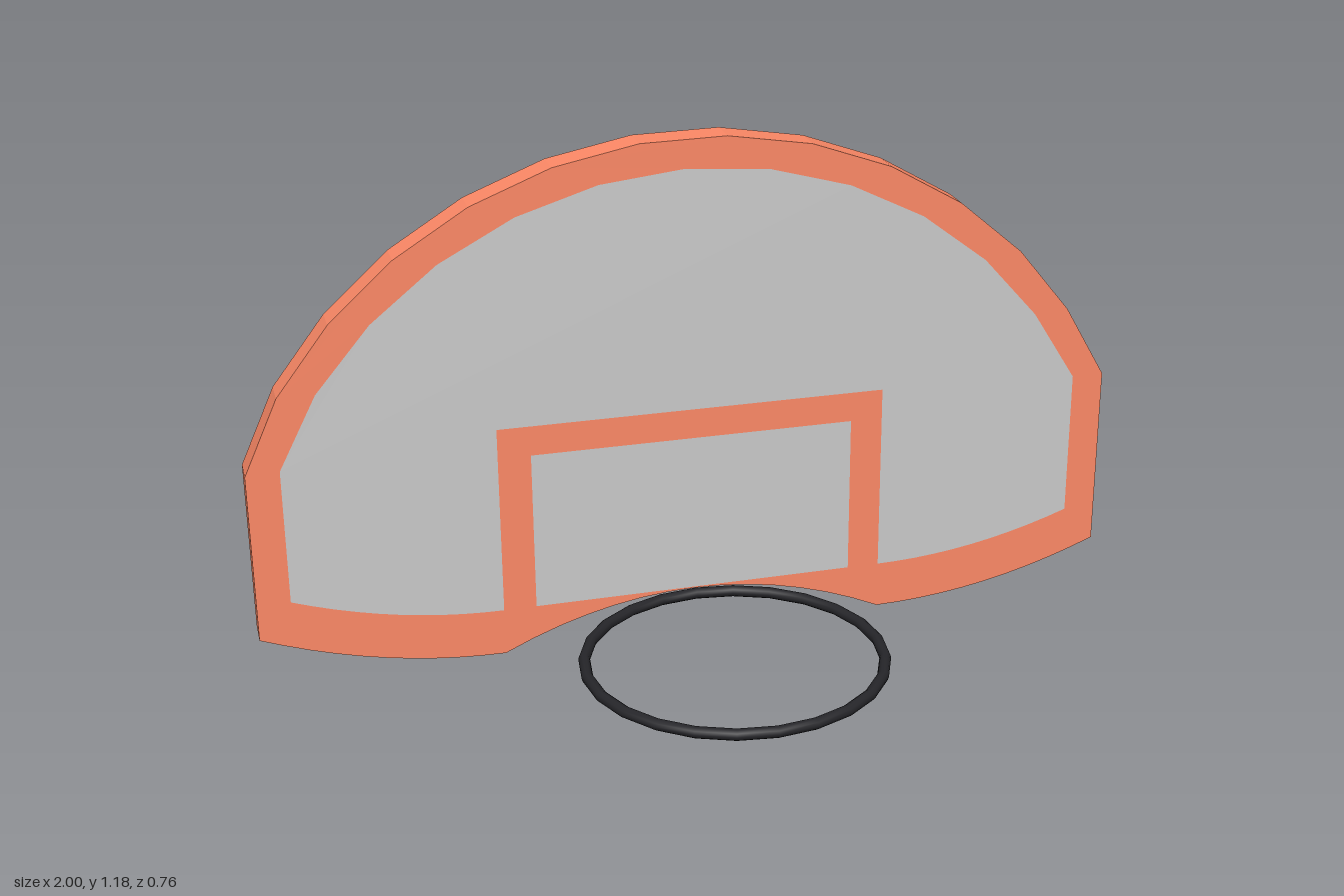
import * as THREE from 'three';

const FRONT = -0.31, BACK = -0.385;
const V = (x, y) => new THREE.Vector2(x, y);

// Points of the domed top, running from right to left, clipped to the straight sides
function dome(radius, start, end, segments, halfWidth) {
  const pts = [];
  for (let i = 0; i <= segments; i++) {
    const a = THREE.MathUtils.degToRad(start + (end - start) * i / segments);
    const x = radius * Math.cos(a);
    const atEnd = i === 0 || i === segments;
    pts.push(V(atEnd ? Math.sign(x) * halfWidth : x, 0.1 + radius * Math.sin(a)));
  }
  return pts;
}

// Curved lower wing edge from the inner corner (x = 0.45) out to the side
function wing(y, rise, halfWidth, segments = 10) {
  const pts = [];
  for (let i = 0; i <= segments; i++) {
    const t = i / segments;
    pts.push(V(0.45 + (halfWidth - 0.45) * t, y + rise * t * t));
  }
  return pts;
}
const mirrored = pts => pts.map(p => V(-p.x, p.y)).reverse();

// Shallow arch cut into the bottom centre, left to right, without end points
function arch(segments = 14) {
  const pts = [];
  for (let i = 1; i < segments; i++) {
    const t = 2 * i / segments - 1;
    pts.push(V(0.45 * t, 0.112 - 0.107 * t * t));
  }
  return pts;
}

// Wall that joins the front and back along a counter-clockwise outline
function rimGeometry(pts) {
  const pos = [];
  pts.forEach((a, i) => {
    const b = pts[(i + 1) % pts.length];
    pos.push(a.x, a.y, FRONT, a.x, a.y, BACK, b.x, b.y, BACK);
    pos.push(a.x, a.y, FRONT, b.x, b.y, BACK, b.x, b.y, FRONT);
  });
  const geo = new THREE.BufferGeometry();
  geo.setAttribute('position', new THREE.Float32BufferAttribute(pos, 3));
  geo.computeVertexNormals();
  return geo;
}

export function createModel() {
  const model = new THREE.Group();
  model.name = 'basketballHoop';

  const grey = new THREE.MeshStandardMaterial({ color: 0xcccccc });
  const orange = new THREE.MeshStandardMaterial({ color: 0xff8a67 });
  const black = new THREE.MeshStandardMaterial({ color: 0x26262a });

  const add = (name, geometry, material, parent = model) => {
    const mesh = new THREE.Mesh(geometry, material);
    mesh.name = name;
    parent.add(mesh);
    return mesh;
  };

  // Outlines, all counter-clockwise seen from the front
  const lower = wing(0.005, 0.11, 1);
  const outline = [...lower, ...dome(1.09, 24, 157.9, 13, 1), ...mirrored(lower), ...arch()];
  const inner = wing(0.115, 0.085, 0.925);
  const panel = [
    ...inner, ...dome(1.021, 25.7, 156, 12, 0.925), ...mirrored(inner),
    V(-0.45, 0.56), V(0.45, 0.56),
  ];
  const target = [V(-0.375, 0.115), V(0.375, 0.115), V(0.375, 0.49), V(-0.375, 0.49)];

  const board = new THREE.Group();
  board.name = 'backboard';
  model.add(board);

  // Orange border and target frame, with the grey panels filling its openings
  const trim = new THREE.Shape(outline);
  trim.holes.push(new THREE.Path(panel), new THREE.Path(target));
  add('borderAndTargetFrame', new THREE.ShapeGeometry(trim), orange, board).position.z = FRONT;
  add('frontPanel', new THREE.ShapeGeometry(new THREE.Shape(panel)), grey, board).position.z = FRONT;
  add('targetPanel', new THREE.ShapeGeometry(new THREE.Shape(target)), grey, board).position.z = FRONT;

  // Outer edge
  add('rimEdge', rimGeometry(outline), orange, board);

  // Back, turned to face -z
  const flipped = new THREE.Shape(mirrored(outline));
  const back = add('backPanel', new THREE.ShapeGeometry(flipped), grey, board);
  back.rotation.y = Math.PI;
  back.position.z = BACK;

  // Hoop ring
  const ring = add('hoopRing', new THREE.TorusGeometry(0.331, 0.013, 10, 24), black);
  ring.rotation.x = Math.PI / 2;
  ring.position.set(0, 0.103, 0.032);

  return model;
}
